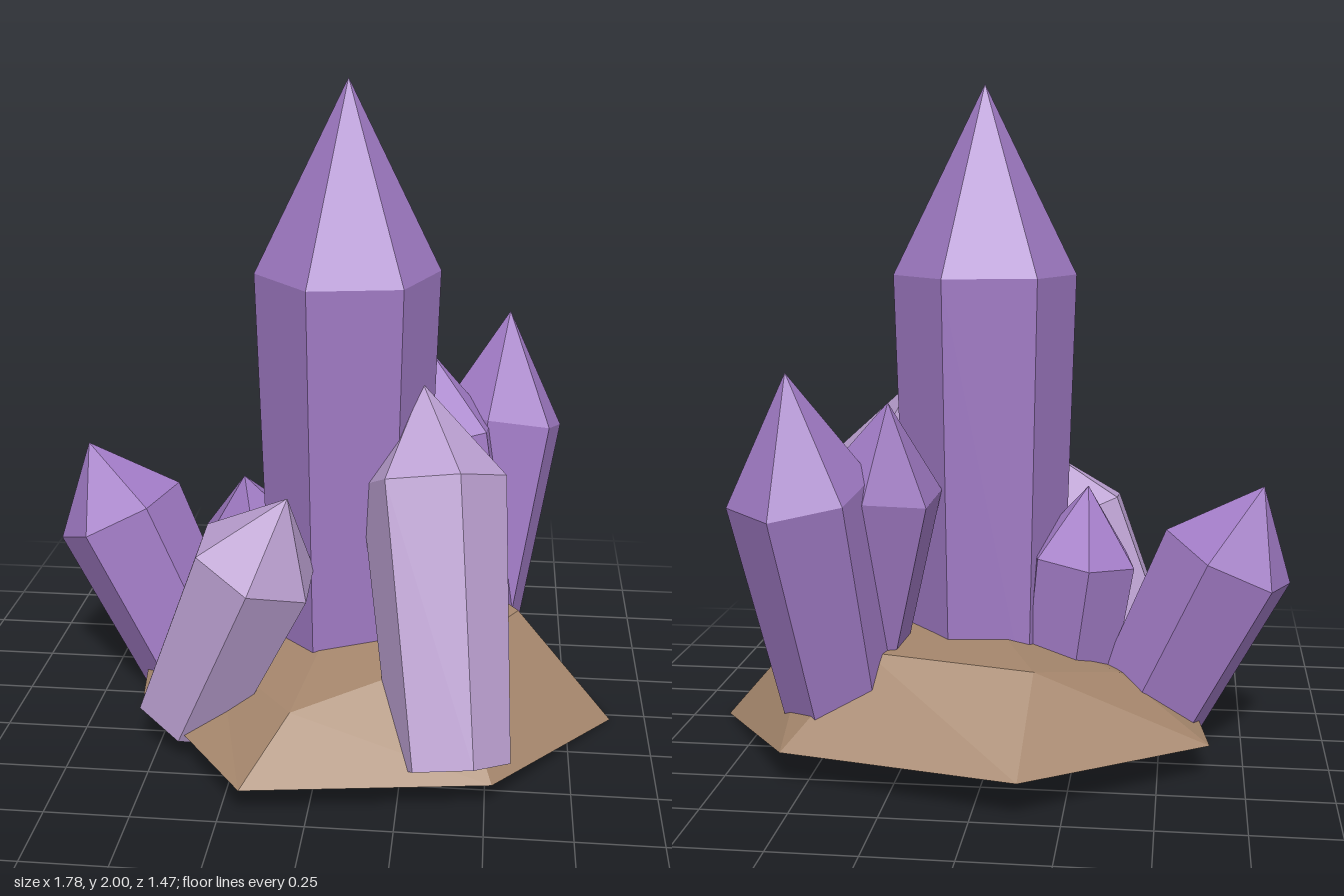
import * as THREE from 'three';

// Flat-shaded geometry from stacked rings of points (bottom to top), closed by a point at each end.
function loft(bottom, rings, top) {
  const pos = [];
  const tri = (...pts) => pts.forEach((p) => pos.push(p.x, p.y, p.z));
  const n = rings[0].length;
  const last = rings[rings.length - 1];
  for (let i = 0; i < n; i++) {
    const j = (i + 1) % n;
    tri(bottom, rings[0][i], rings[0][j]);
    for (let k = 0; k + 1 < rings.length; k++) {
      const a = rings[k], b = rings[k + 1];
      tri(a[i], b[i], b[j]);
      tri(a[i], b[j], a[j]);
    }
    tri(last[i], top, last[j]);
  }
  const geo = new THREE.BufferGeometry();
  geo.setAttribute('position', new THREE.Float32BufferAttribute(pos, 3));
  geo.computeVertexNormals();
  return geo;
}

const vec = (p) => new THREE.Vector3(...p);

// Six-sided leaning prism that widens to its shoulder and ends in a point.
function crystalGeometry({ base, shoulder, tip, r0, r1, spin }) {
  const b = vec(base), s = vec(shoulder);
  const axis = s.clone().sub(b).normalize();
  const u = new THREE.Vector3(1, 0, 0).addScaledVector(axis, -axis.x).normalize();
  const v = u.clone().cross(axis);
  const ring = (c, r) => Array.from({ length: 6 }, (_, i) => {
    const a = THREE.MathUtils.degToRad(spin + i * 60);
    return c.clone().addScaledVector(u, r * Math.cos(a)).addScaledVector(v, r * Math.sin(a));
  });
  return loft(b, [ring(b, r0), ring(s, r1)], vec(tip));
}

export function createModel() {
  const group = new THREE.Group();
  const material = (name, color) => {
    const m = new THREE.MeshStandardMaterial({ color, flatShading: true });
    m.name = name;
    return m;
  };
  const purple = material('purple crystal', 0xa07ac4);
  const lilac = material('pale lilac crystal', 0xba9fd0);
  const brown = material('brown rock', 0xa5866c);

  const add = (name, geo, mat) => {
    const mesh = new THREE.Mesh(geo, mat);
    mesh.name = name;
    group.add(mesh);
  };

  // Rock: irregular seven-sided mound
  const foot = [
    [0.89, 0, 0.03], [0.52, 0.08, 0.61], [-0.19, 0.09, 0.73], [-0.58, 0.09, 0.18],
    [-0.65, 0.1, -0.36], [-0.13, 0.11, -0.74], [0.57, 0.1, -0.56],
  ].map(vec);
  const rim = [
    [0.59, 0.35, 0], [0.39, 0.33, 0.3], [-0.07, 0.23, 0.52], [-0.34, 0.21, 0.14],
    [-0.38, 0.26, -0.2], [-0.15, 0.34, -0.48], [0.35, 0.35, -0.38],
  ].map(vec);
  add('rockBase', loft(vec([0, 0.08, 0]), [foot, rim], vec([0.03, 0.35, 0])), brown);

  // Crystals
  const crystals = [
    { name: 'mainCrystal', mat: purple, base: [0.05, 0.13, 0.01], shoulder: [0.05, 1.43, 0.02], tip: [0.05, 2, 0.02], r0: 0.24, r1: 0.28, spin: -10 },
    { name: 'rightLeaningCrystal', mat: purple, base: [-0.46, 0.1, -0.07], shoulder: [-0.7, 0.6, -0.1], tip: [-0.8, 0.82, -0.12], r0: 0.18, r1: 0.21, spin: -10 },
    { name: 'smallInnerCrystal', mat: purple, base: [-0.2, 0.12, -0.04], shoulder: [-0.26, 0.58, -0.06], tip: [-0.27, 0.78, 0.03], r0: 0.15, r1: 0.17, spin: 20 },
    { name: 'frontRightPaleCrystal', mat: lilac, base: [-0.42, 0.09, 0.27], shoulder: [-0.19, 0.62, 0.34], tip: [-0.09, 0.84, 0.38], r0: 0.165, r1: 0.2, spin: 30 },
    { name: 'frontLeftPaleCrystal', mat: lilac, base: [0.4, 0.08, 0.51], shoulder: [0.32, 0.84, 0.18], tip: [0.28, 1.1, 0.05], r0: 0.175, r1: 0.22, spin: 7 },
    { name: 'backLeftTallCrystal', mat: purple, base: [0.43, 0.13, -0.32], shoulder: [0.52, 0.84, -0.47], tip: [0.54, 1.19, -0.53], r0: 0.17, r1: 0.21, spin: 42 },
    { name: 'backLeftShortCrystal', mat: purple, base: [0.45, 0.15, -0.22], shoulder: [0.32, 0.83, -0.3], tip: [0.28, 1.09, -0.38], r0: 0.16, r1: 0.19, spin: 35 },
  ];
  crystals.forEach((c) => add(c.name, crystalGeometry(c), c.mat));

  return group;
}
